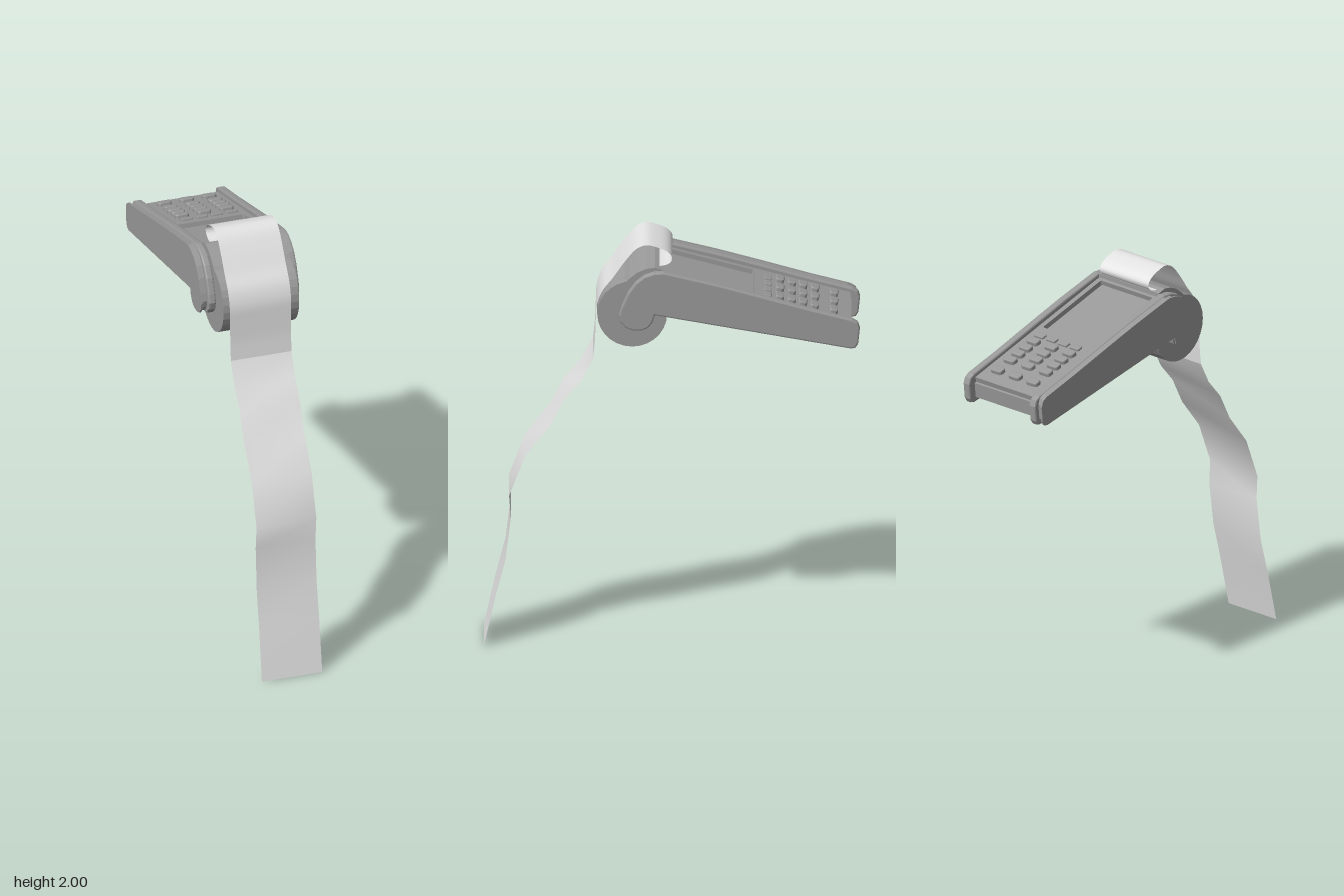
import * as THREE from 'three';

const SLOPE = 0.268;
const TILT = Math.atan(SLOPE);
const COS = Math.cos(TILT);

// Shape from [a, b] points
const toShape = (pts) => new THREE.Shape(pts.map(([a, b]) => new THREE.Vector2(a, b)));

// Extrude a [z, y] side profile across x0..x1
function extrudeX(pts, x0, x1, bevel = 0) {
  const g = new THREE.ExtrudeGeometry(toShape(pts), {
    depth: x1 - x0 - 2 * bevel, bevelEnabled: bevel > 0, bevelSize: bevel,
    bevelThickness: bevel, bevelOffset: -bevel, bevelSegments: 2,
  });
  g.rotateY(-Math.PI / 2);
  g.translate(x1 - bevel, 0, 0);
  return g;
}

// Rounded rectangle in a plane
function roundRect(w, h, r) {
  const s = new THREE.Shape();
  const a = w / 2 - r, b = h / 2 - r;
  s.absarc(a, b, r, 0, Math.PI / 2);
  s.absarc(-a, b, r, Math.PI / 2, Math.PI);
  s.absarc(-a, -b, r, Math.PI, Math.PI * 1.5);
  s.absarc(a, -b, r, Math.PI * 1.5, Math.PI * 2);
  return s;
}

// Ribbon through [z, y] points, with left and right x found from y
function ribbon(pts) {
  const pos = [], idx = [];
  pts.forEach(([z, y], i) => {
    const t = Math.min(1, Math.max(0, (1.75 - y) / 1.75));
    pos.push(-0.14 - 0.02 * t * t, y, z, 0.16 - 0.025 * t, y, z);
    if (i) {
      const k = 2 * i;
      idx.push(k - 2, k, k - 1, k - 1, k, k + 1);
    }
  });
  const g = new THREE.BufferGeometry();
  g.setAttribute('position', new THREE.Float32BufferAttribute(pos, 3));
  g.setIndex(idx);
  g.computeVertexNormals();
  return g;
}

export function createModel() {
  const model = new THREE.Group();
  const casing = new THREE.MeshStandardMaterial({ color: 0x999999 });
  casing.name = 'casingGrey';
  const paper = new THREE.MeshStandardMaterial({ color: 0xe2e2e2, side: THREE.DoubleSide });
  paper.name = 'paperWhite';

  const add = (name, geometry, material = casing, parent = model) => {
    const m = new THREE.Mesh(geometry, material);
    m.name = name;
    parent.add(m);
    return m;
  };

  // Hooked side plates
  const side = [
    [0.04, 1.893], [-0.2, 1.834], [-0.4, 1.779], [-0.64, 1.711], [-0.835, 1.66],
    [-0.86, 1.645], [-0.87, 1.615], [-0.862, 1.54], [-0.85, 1.52], [-0.83, 1.515],
    [-0.4, 1.593], [0.08, 1.68], [0.09, 1.645], [0.11, 1.618], [0.14, 1.605],
    [0.18, 1.604], [0.215, 1.617], [0.238, 1.645], [0.246, 1.68], [0.235, 1.72],
    [0.205, 1.79], [0.17, 1.84], [0.13, 1.873], [0.085, 1.89],
  ];
  const shrink = (k) => side.map(([z, y]) => [-0.31 + (z + 0.31) * k, 1.71 + (y - 1.71) * k]);
  add('leftSidePlate', extrudeX(side, 0.2, 0.237, 0.008));
  add('rightSidePlate', extrudeX(side, -0.207, -0.17, 0.008));

  // Card slot on the right side: recessed core and outer wall
  add('cardSlotCore', extrudeX(shrink(0.955), -0.234, -0.2));
  add('cardSlotWall', extrudeX(shrink(0.98), -0.24, -0.231));

  // Main body between the plates
  add('body', extrudeX([
    [0.1, 1.862], [-0.83, 1.613], [-0.822, 1.54], [0.1, 1.7],
  ], -0.171, 0.201));

  // Paper roll housing
  const roll = new THREE.CylinderGeometry(0.162, 0.162, 0.37, 28).toNonIndexed();
  roll.computeVertexNormals();
  roll.rotateZ(Math.PI / 2);
  roll.translate(0.015, 1.675, 0.185);
  add('paperRollHousing', roll);
  add('paperCover', extrudeX([
    [0.04, 1.893], [0.04, 1.72], [0.2, 1.7], [0.225, 1.82], [0.2, 1.848],
    [0.16, 1.88], [0.12, 1.898], [0.08, 1.905],
  ], -0.17, 0.2));

  // Sloping top face, with a local frame lying along it
  const top = new THREE.Group();
  top.name = 'topFace';
  top.position.set(0.015, 1.862, 0);
  top.rotation.x = -TILT;
  model.add(top);
  const flat = (shape, depth, bevel = 0) => new THREE.ExtrudeGeometry(shape, {
    depth: depth - bevel, bevelEnabled: bevel > 0, bevelSize: bevel, bevelThickness: bevel,
    bevelOffset: -bevel, bevelSegments: 2, curveSegments: 4,
  }).rotateX(-Math.PI / 2);

  // Panel with the screen opening
  const panel = toShape([[-0.186, -0.05], [0.186, -0.05], [0.186, 0.855], [-0.186, 0.855]]);
  const opening = roundRect(0.32, 0.42, 0.008).getPoints(4).map((p) => p.add(new THREE.Vector2(0, 0.184)));
  panel.holes.push(new THREE.Path(opening));
  add('topPanel', flat(panel, 0.026), casing, top).position.y = -0.026;
  add('screen', flat(roundRect(0.31, 0.41, 0.008), 0.006), casing, top).position.set(0, -0.026, -0.184);

  // Keypad
  const key = flat(roundRect(0.066, 0.042, 0.014), 0.02, 0.005);
  for (const z of [-0.745, -0.657, -0.602, -0.55, -0.495]) {
    for (const x of [-0.105, 0.004, 0.114]) {
      add('key', key, casing, top).position.set(x, 0, z / COS);
    }
  }
  const smallKey = flat(roundRect(0.055, 0.032, 0.005), 0.01, 0.003);
  for (const x of [-0.098, -0.025, 0.048, 0.121]) {
    add('functionKey', smallKey, casing, top).position.set(x, 0, -0.442 / COS);
  }

  // Paper strip: curl over the top, then a wavy tail down to the ground
  const curl = new THREE.CatmullRomCurve3([
    [0.09, 1.9], [0.04, 1.9], [0.008, 1.915], [0.0, 1.94], [0.022, 1.968], [0.07, 1.99],
    [0.12, 2.0], [0.165, 1.982], [0.22, 1.918], [0.275, 1.838], [0.324, 1.772],
    [0.349, 1.7], [0.354, 1.62], [0.358, 1.52], [0.367, 1.43],
  ].map(([z, y]) => new THREE.Vector3(0, y, z)));
  add('paperCurl', ribbon(curl.getPoints(56).map((p) => [p.z, Math.min(p.y, 2)])), paper);
  add('paperTail', ribbon([
    [0.367, 1.43], [0.42, 1.325], [0.5, 1.23], [0.565, 1.1], [0.68, 0.95], [0.755, 0.75],
    [0.747, 0.64], [0.772, 0.43], [0.815, 0.26], [0.872, 0],
  ]), paper);

  return model;
}
